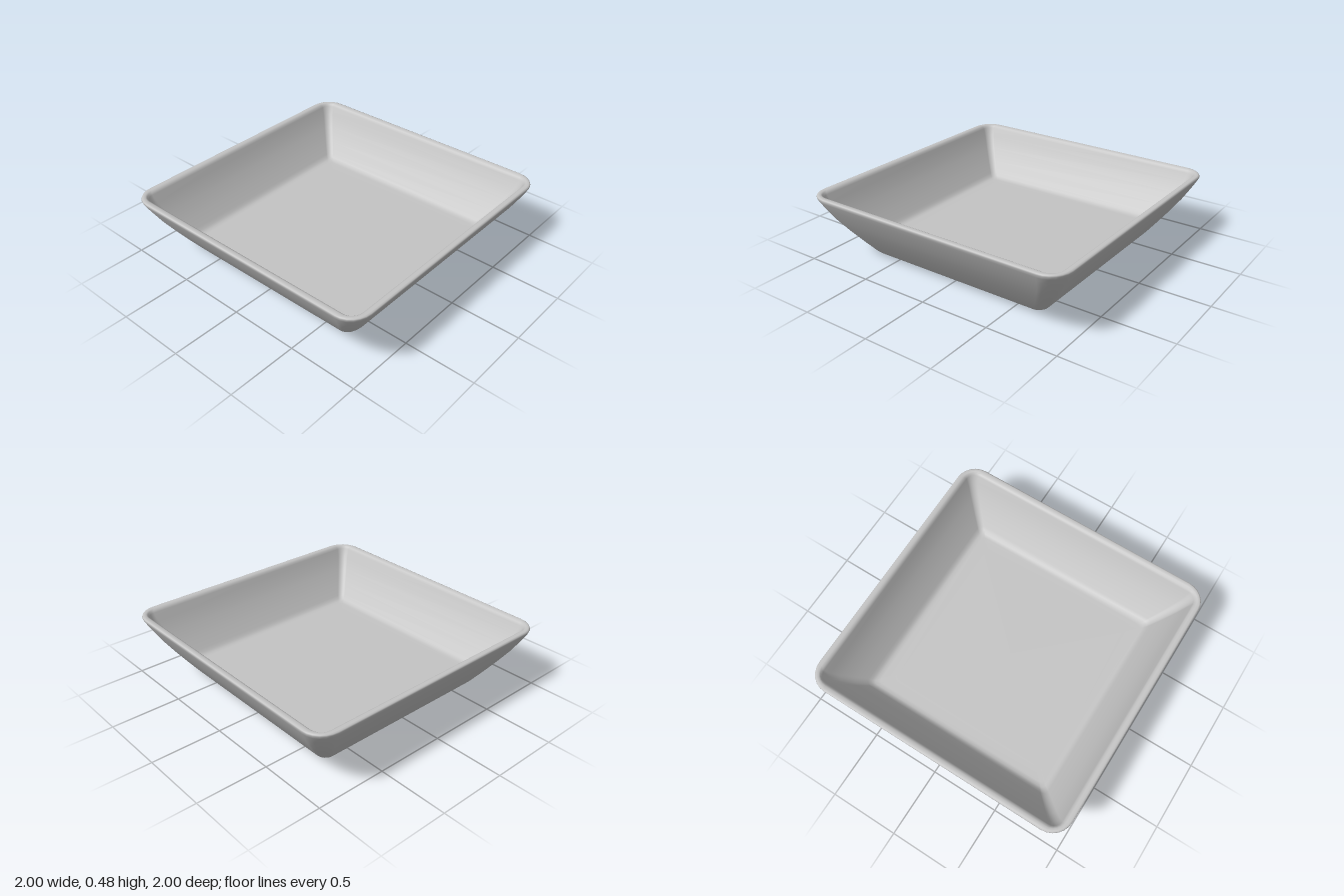
import * as THREE from 'three';

const CORNER_STEPS = 6;

// Outline of a rounded square: half width h, corner radius r
function roundedSquare(h, r) {
  const points = [];
  for (let corner = 0; corner < 4; corner++) {
    const mid = (corner + 0.5) * Math.PI / 2;
    const cx = Math.sign(Math.cos(mid)) * (h - r);
    const cz = Math.sign(Math.sin(mid)) * (h - r);
    for (let i = 0; i <= CORNER_STEPS; i++) {
      const a = (corner + i / CORNER_STEPS) * Math.PI / 2;
      points.push([cx + r * Math.cos(a), cz + r * Math.sin(a)]);
    }
  }
  return points;
}

// Skin through rounded squares; each section is [half width, height, corner radius]
function loft(sections) {
  const positions = [], index = [];
  const count = 4 * (CORNER_STEPS + 1);
  for (const [h, y, r] of sections) {
    // the dish sits with a very slight lean
    for (const [x, z] of roundedSquare(h, r)) positions.push(x, y + 0.01 * x, z);
  }
  for (let s = 0; s < sections.length - 1; s++) {
    for (let i = 0; i < count; i++) {
      const a = s * count + i, b = s * count + (i + 1) % count;
      index.push(a, a + count, b, b, a + count, b + count);
    }
  }
  const geometry = new THREE.BufferGeometry();
  geometry.setAttribute('position', new THREE.Float32BufferAttribute(positions, 3));
  geometry.setIndex(index);
  geometry.computeVertexNormals();
  return geometry;
}

export function createModel() {
  const group = new THREE.Group();
  group.name = 'squareDish';
  const ceramic = new THREE.MeshStandardMaterial({ color: 0xc4c4c4 });
  ceramic.name = 'greyCeramic';

  const add = (name, sections) => {
    const mesh = new THREE.Mesh(loft(sections), ceramic);
    mesh.name = name;
    group.add(mesh);
  };

  // Flat recessed underside
  add('underside', [[0, 0.055, 0], [0.63, 0.055, 0.03]]);

  // Foot ring, outer wall, rolled rim, inner wall and floor
  add('bowl', [
    [0.63, 0.055, 0.03], [0.645, 0.025, 0.035], [0.655, 0.011, 0.04],
    [0.67, 0.007, 0.05], [0.69, 0.011, 0.06], [0.708, 0.026, 0.065],
    [0.725, 0.046, 0.07], [0.782, 0.12, 0.08], [0.845, 0.205, 0.095],
    [0.91, 0.3, 0.11], [0.96, 0.385, 0.13], [0.99, 0.44, 0.145],
    [0.998, 0.46, 0.15], [0.995, 0.469, 0.147], [0.985, 0.473, 0.135],
    [0.965, 0.472, 0.105], [0.95, 0.464, 0.08], [0.94, 0.448, 0.065],
    [0.915, 0.39, 0.055], [0.868, 0.305, 0.05], [0.805, 0.215, 0.045],
    [0.75, 0.145, 0.04], [0.732, 0.125, 0.035], [0.712, 0.113, 0.03],
    [0.685, 0.11, 0.03], [0.6, 0.11, 0.03], [0, 0.11, 0],
  ]);

  return group;
}
